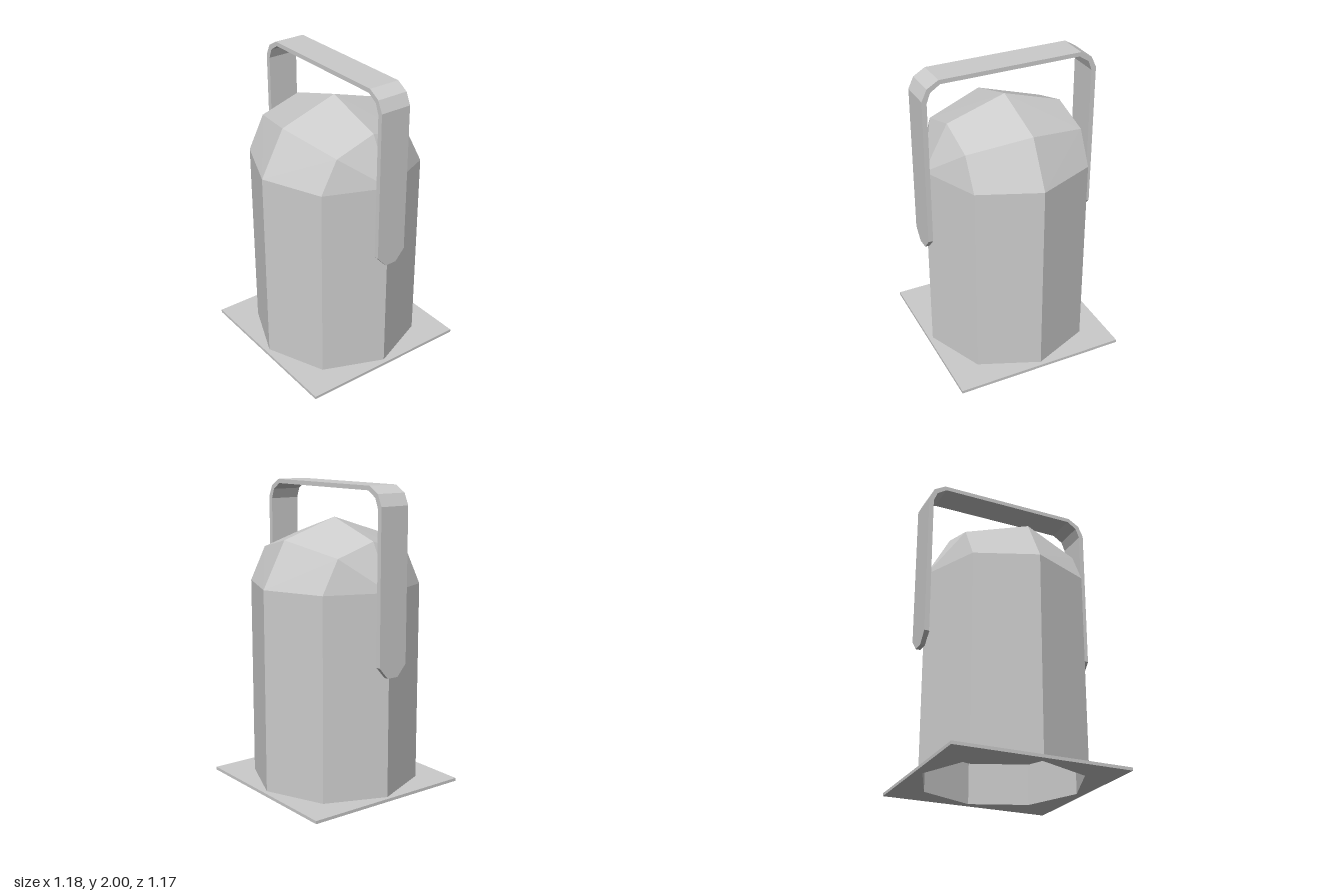
import * as THREE from 'three';

const grey = (side = THREE.FrontSide) =>
  new THREE.MeshStandardMaterial({ color: 0xcccccc, flatShading: true, side });

function add(parent, name, geometry, material = grey()) {
  const mesh = new THREE.Mesh(geometry, material);
  mesh.name = name;
  parent.add(mesh);
  return mesh;
}

const toShape = (points) => new THREE.Shape(points.map(([x, y]) => new THREE.Vector2(x, y)));
const extrude = (shape, depth) =>
  new THREE.ExtrudeGeometry(shape, { depth, bevelEnabled: false });

const SIDES = 8;
const angle = (k) => (k * Math.PI * 2) / SIDES;

// Octagonal body with a two-step faceted dome
function bodyGeometry() {
  const ring = (r, y) => (k) => [r * Math.sin(angle(k)), y, r * Math.cos(angle(k))];
  const foot = ring(0.557, 0.01);
  const shoulder = ring(0.557, 1.35);
  const crownAxis = ring(0.395, 1.65);
  // corners of the crown sit lower and further out than its axis points
  const crown = (k) => k % 2 === 0 ? crownAxis(k)
    : [Math.sign(Math.sin(angle(k))) * 0.397, 1.565, Math.sign(Math.cos(angle(k))) * 0.28];
  const apex = [0, 1.775, 0];

  const positions = [];
  const tri = (a, b, c) => positions.push(...a, ...b, ...c);
  for (let k = 0; k < SIDES; k++) {
    const n = (k + 1) % SIDES;
    tri(foot(k), foot(n), shoulder(n));
    tri(foot(k), shoulder(n), shoulder(k));
    if (k % 2 === 0) {
      tri(shoulder(k), shoulder(n), crown(n));
      tri(shoulder(k), crown(n), crown(k));
    } else {
      tri(shoulder(k), shoulder(n), crown(k));
      tri(shoulder(n), crown(n), crown(k));
    }
    tri(crown(k), crown(n), apex);
  }
  const g = new THREE.BufferGeometry();
  g.setAttribute('position', new THREE.Float32BufferAttribute(positions, 3));
  g.computeVertexNormals();
  return g;
}

// Thin, slightly uneven square plate with an octagonal opening
function plateGeometry() {
  const shape = toShape([[-0.587, -0.584], [0.58, -0.588], [0.59, 0.586], [-0.578, 0.586]]);
  const hole = new THREE.Path();
  hole.setFromPoints(Array.from({ length: SIDES }, (_, k) =>
    new THREE.Vector2(0.53 * Math.sin(angle(k)), 0.53 * Math.cos(angle(k)))));
  shape.holes.push(hole);
  return extrude(shape, 0.02).rotateX(-Math.PI / 2);
}

// Flat strap bent over the top with chamfered corners
function strapGeometry(halfWidth, armEnd) {
  const mirror = (pts) => pts.map(([x, y]) => [-x, y]).reverse();
  const outer = [[0.592, armEnd], [0.592, 1.88], [0.557, 1.955], [0.48, 2.0]];
  const inner = [[0.56, armEnd], [0.56, 1.865], [0.535, 1.93], [0.47, 1.972]];
  const outline = [...outer, ...mirror(outer), ...mirror(inner).reverse(), ...inner.slice().reverse()];
  return extrude(toShape(outline), halfWidth * 2).translate(0, 0, -halfWidth);
}

export function createModel() {
  const model = new THREE.Group();
  model.name = 'lantern';

  add(model, 'body', bodyGeometry());
  add(model, 'basePlate', plateGeometry());

  // Recess in the underside
  const recess = new THREE.Group();
  recess.name = 'underside';
  model.add(recess);
  add(recess, 'recessWall',
    new THREE.CylinderGeometry(0.53, 0.53, 0.265, SIDES, 1, true).translate(0, 0.1475, 0),
    grey(THREE.BackSide));
  add(recess, 'recessCeiling',
    new THREE.CircleGeometry(0.53, SIDES, Math.PI / 2).rotateX(Math.PI / 2).translate(0, 0.28, 0));

  // Carrying handle
  const handle = new THREE.Group();
  handle.name = 'handle';
  model.add(handle);
  const half = 0.106, armEnd = 0.895;
  add(handle, 'handleStrap', strapGeometry(half, armEnd));

  for (const side of [1, -1]) {
    const label = side > 0 ? 'left' : 'right';
    // Tapered end of each arm
    const tab = extrude(toShape([[-0.04, 0.82], [0.04, 0.82], [half, armEnd], [-half, armEnd]]), 0.032)
      .rotateY(Math.PI / 2)
      .translate(side > 0 ? 0.56 : -0.592, 0, 0);
    add(handle, label + 'ArmEnd', tab);
    // Pivot peg joining the arm to the body
    const peg = new THREE.CylinderGeometry(0.05, 0.05, 0.1, SIDES)
      .rotateZ(Math.PI / 2)
      .translate(side * 0.52, 0.92, 0);
    add(handle, label + 'Pivot', peg);
  }
  return model;
}
